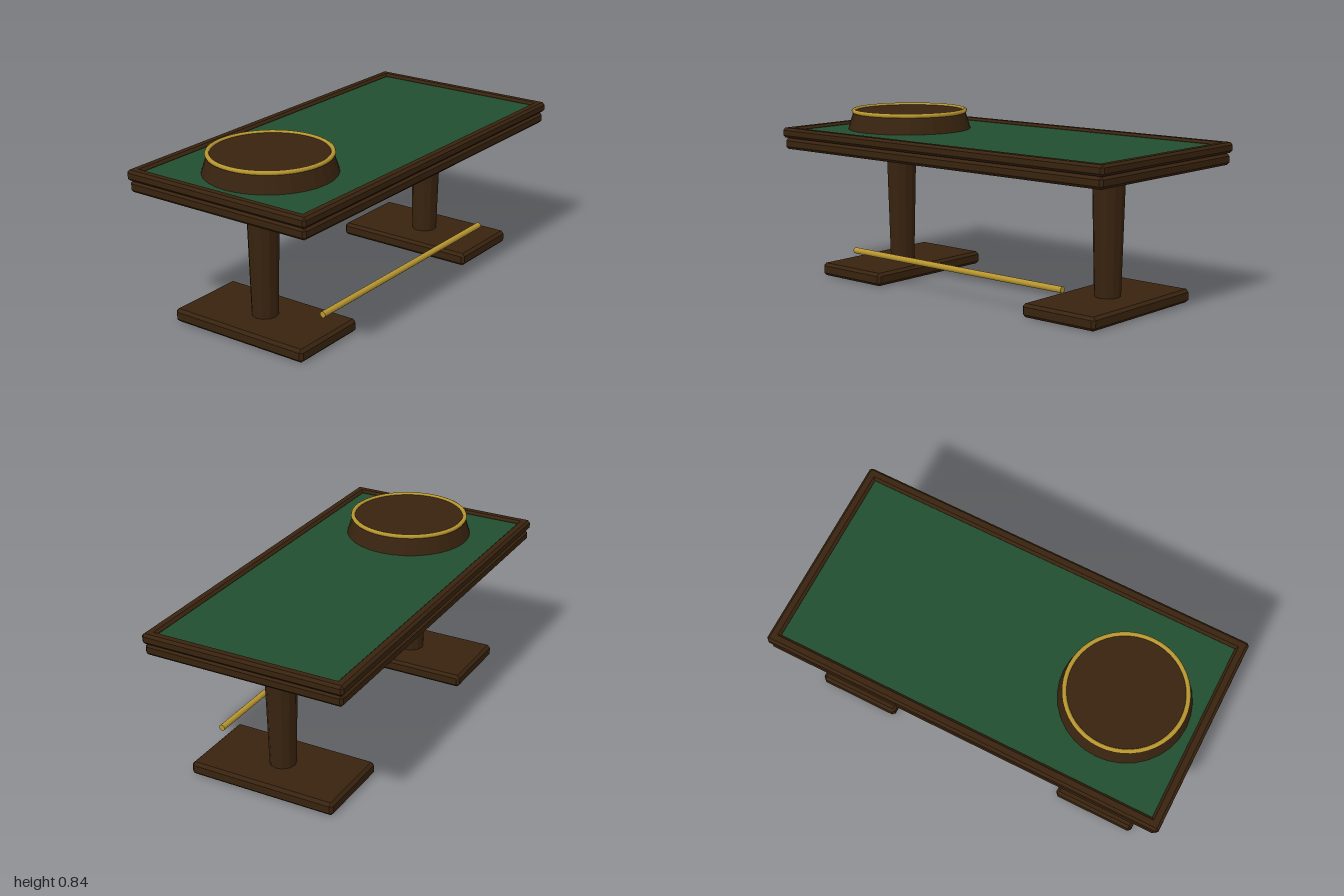
import * as THREE from 'three';
import { ConvexGeometry } from 'three/addons/geometries/ConvexGeometry.js';

const mat = (name, color, flatShading = false) => {
  const m = new THREE.MeshStandardMaterial({ color, flatShading });
  m.name = name;
  return m;
};

// Box with every edge cut at 45 degrees
function chamferBox(w, h, d, c) {
  const pts = [];
  for (const sx of [-1, 1]) for (const sy of [-1, 1]) for (const sz of [-1, 1]) {
    const x = w / 2, y = h / 2, z = d / 2;
    pts.push(
      new THREE.Vector3(sx * x, sy * (y - c), sz * (z - c)),
      new THREE.Vector3(sx * (x - c), sy * y, sz * (z - c)),
      new THREE.Vector3(sx * (x - c), sy * (y - c), sz * z)
    );
  }
  return new ConvexGeometry(pts);
}

export function createModel() {
  const group = new THREE.Group();
  group.name = 'gamingTable';
  const wood = mat('darkWood', 0x38230f, true);
  const felt = mat('greenFelt', 0x224e2f);
  const brass = mat('brass', 0xb8962f);

  const add = (name, geometry, material, x, y, z) => {
    const mesh = new THREE.Mesh(geometry, material);
    mesh.name = name;
    mesh.position.set(x, y, z);
    group.add(mesh);
    return mesh;
  };

  // Table body and playing surface
  add('tableBody', chamferBox(1.98, 0.055, 0.985, 0.013), wood, 0, 0.675, 0);
  add('feltTop', new THREE.BoxGeometry(1.93, 0.045, 0.93), felt, 0, 0.7175, 0);

  // Raised border, pedestal legs and feet, mirrored left and right
  for (const s of [-1, 1]) {
    add('longBorder', chamferBox(2, 0.05, 0.052, 0.012), wood, 0, 0.729, s * 0.474);
    add('shortBorder', chamferBox(0.052, 0.05, 1, 0.012), wood, s * 0.974, 0.729, 0);
    add('leg', new THREE.CylinderGeometry(0.078, 0.062, 0.61, 12), wood, s * 0.66, 0.355, 0);
    add('foot', chamferBox(0.41, 0.064, 0.74, 0.014), wood, s * 0.66, 0.032, 0);
  }

  // Foot rail along the front
  const rail = add('footRail', new THREE.CylinderGeometry(0.015, 0.015, 1.32, 12), brass, 0, 0.15, 0.33);
  rail.rotation.z = Math.PI / 2;

  // Round wheel housing with a brass rim
  add('wheelHousing', new THREE.CylinderGeometry(0.28, 0.312, 0.1, 32), wood, -0.6, 0.78, 0);
  const rim = add('wheelRim', new THREE.TorusGeometry(0.28, 0.011, 8, 48), brass, -0.6, 0.829, 0);
  rim.rotation.x = Math.PI / 2;

  return group;
}
